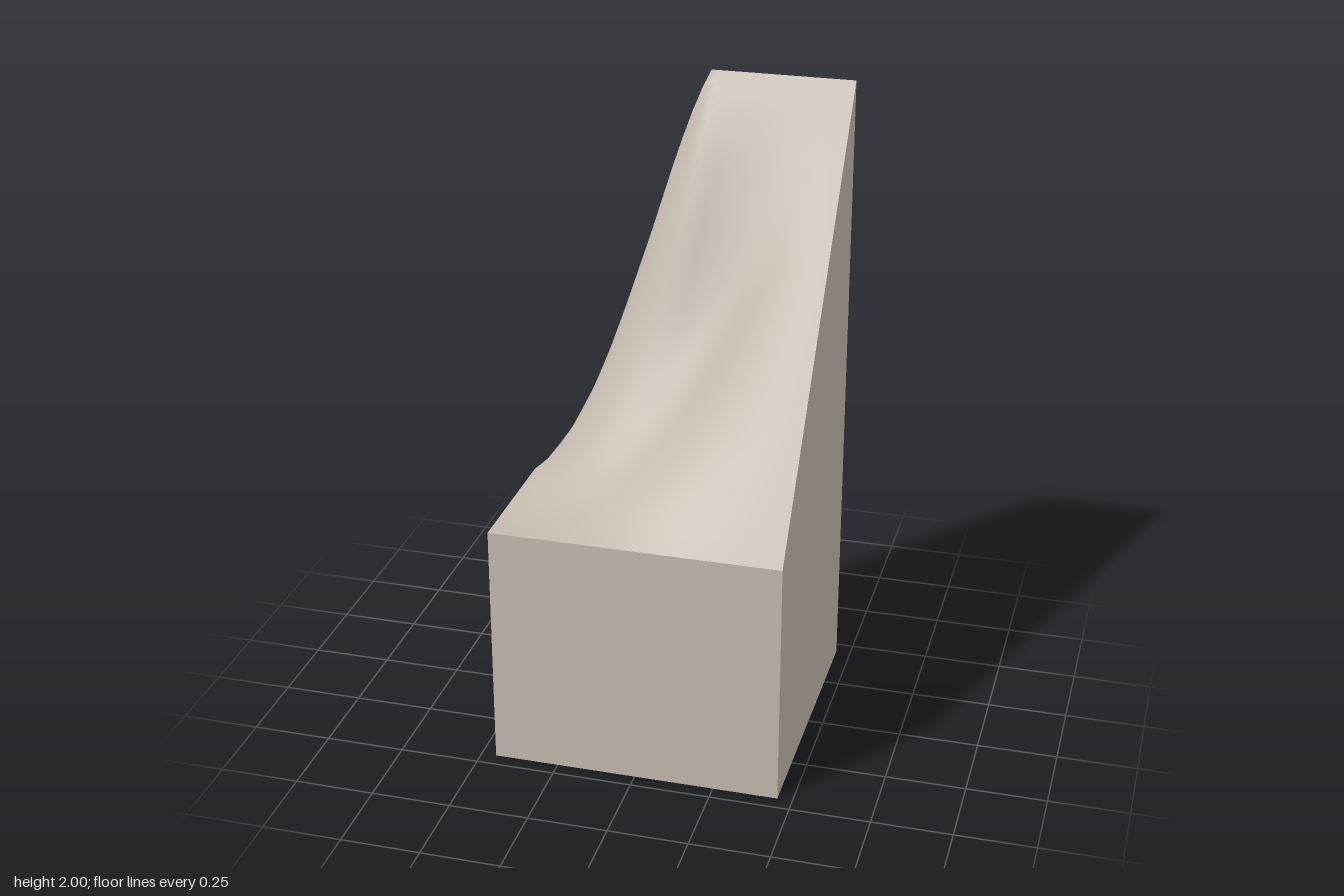
import * as THREE from 'three';

const H = 0.453, LOW = 0.79, HIGH = 2;
const { lerp, smoothstep, clamp } = THREE.MathUtils;

// Cliff plan, from the back face round to the left-hand end: [x, z]
const RIM = [[0, -H], [-0.05, -0.415], [-0.1, -0.37], [-0.15, -0.31], [-0.22, -0.25],
  [-0.26, -0.2], [-0.3, -0.15], [-0.36, -0.1], [-0.42, -0.035], [-H, 0]];
const FOOT = [[-0.125, -H], [-0.19, -0.442], [-0.25, -0.425], [-0.275, -0.405], [-0.31, -0.34],
  [-0.335, -0.28], [-0.37, -0.23], [-0.405, -0.2], [-0.43, -0.15], [-H, -0.117]];

// Height of the sloping top: a ramp on the right, flat on the left, hollow between
function height(x, z) {
  const t = (H - z) / (2 * H);
  const s = clamp((x + H) / H, 0, 1);
  const rim = lerp(s, smoothstep(s, 0, 1), 0.6);
  const wide = smoothstep(x, -H, H);
  const hollow = smoothstep(x + z, -H, 0.15) * smoothstep(z, -H, -0.05);
  return LOW + (HIGH - LOW) * t * lerp(rim, wide, hollow);
}

// Grid surface through rows of points
function sheet(rows, flat) {
  const n = rows[0].length, index = [];
  for (let r = 0; r < rows.length - 1; r++) {
    for (let c = 0; c < n - 1; c++) {
      const a = r * n + c, b = a + 1, d = a + n, e = d + 1;
      index.push(a, d, b, b, d, e);
    }
  }
  let geo = new THREE.BufferGeometry();
  geo.setAttribute('position', new THREE.Float32BufferAttribute(rows.flat(2), 3));
  geo.setIndex(index);
  if (flat) geo = geo.toNonIndexed();
  geo.computeVertexNormals();
  return geo;
}

function polygon(points) {
  return new THREE.ShapeGeometry(new THREE.Shape(points.map(([x, y]) => new THREE.Vector2(x, y))));
}

export function createModel() {
  const group = new THREE.Group();
  // Hollow shell with an open underside, so both faces show
  const stone = new THREE.MeshStandardMaterial({ color: 0xc3b9ae, side: THREE.DoubleSide });
  stone.name = 'warm grey stone';
  const add = (name, geo) => {
    const mesh = new THREE.Mesh(geo, stone);
    mesh.name = name;
    group.add(mesh);
  };

  let seed = 7;
  const jitter = (size) => {
    seed = (seed * 16807) % 2147483647;
    return (seed / 2147483647 - 0.5) * size;
  };

  // Smooth sloping top, its left border following the cliff rim
  const borders = [];
  RIM.forEach(([x, z], i) => {
    if (i > 0) borders.push([(x + RIM[i - 1][0]) / 2, (z + RIM[i - 1][1]) / 2]);
    borders.push([x, z]);
  });
  for (let i = 1; i <= 16; i++) borders.push([-H, (H * i) / 16]);
  const topRows = borders.map(([left, z]) => Array.from({ length: 33 }, (_, c) => {
    const x = lerp(left, H, c / 32);
    return [x, height(x, z), z];
  }));
  add('slopingTop', sheet(topRows, false));

  // Rocky cliff: steep wall, talus flaring outward, then an undercut foot
  const last = RIM.length - 1;
  const levels = [[1, 0], [0.75, 0.1], [0.5, 0.2], [0.25, 0.28], [0, 0.38]];
  const cliff = levels.map(([up, out], level) => RIM.map(([x, z], i) => {
    const inner = i > 0 && i < last && level > 0 ? 1 : 0;
    const ledge = lerp(0.65, 0.4, i / last);
    return [
      lerp(x, FOOT[i][0], out) + inner * jitter(0.02),
      lerp(ledge, height(x, z), up) + inner * jitter(0.05),
      lerp(z, FOOT[i][1], out) + inner * jitter(0.02),
    ];
  }));
  cliff.push(FOOT.map(([x, z]) => [x, 0.18, z]));
  cliff.push(RIM.map((_, i) => [-H * i / last, 0, -H * (1 - i / last)]));
  add('cliffFace', sheet(cliff, true));

  // Flat cut sides, sharing the end columns of the cliff
  const backEdge = cliff.map((row) => row[0]);
  const leftEdge = cliff.map((row) => row[last]);
  add('frontSide', new THREE.PlaneGeometry(2 * H, LOW).translate(0, LOW / 2, H));
  add('rampSide', polygon([[-H, 0], [H, 0], [H, HIGH], [-H, LOW]])
    .rotateY(Math.PI / 2).translate(H, 0, 0));
  add('backSide', polygon([...backEdge.map(([x, y]) => [-x, y]), [-H, 0], [-H, HIGH]].reverse())
    .rotateY(Math.PI).translate(0, 0, -H));
  add('lowSide', polygon([...leftEdge.map(([, y, z]) => [z, y]), [H, 0], [H, LOW]])
    .rotateY(-Math.PI / 2).translate(-H, 0, 0));

  return group;
}
